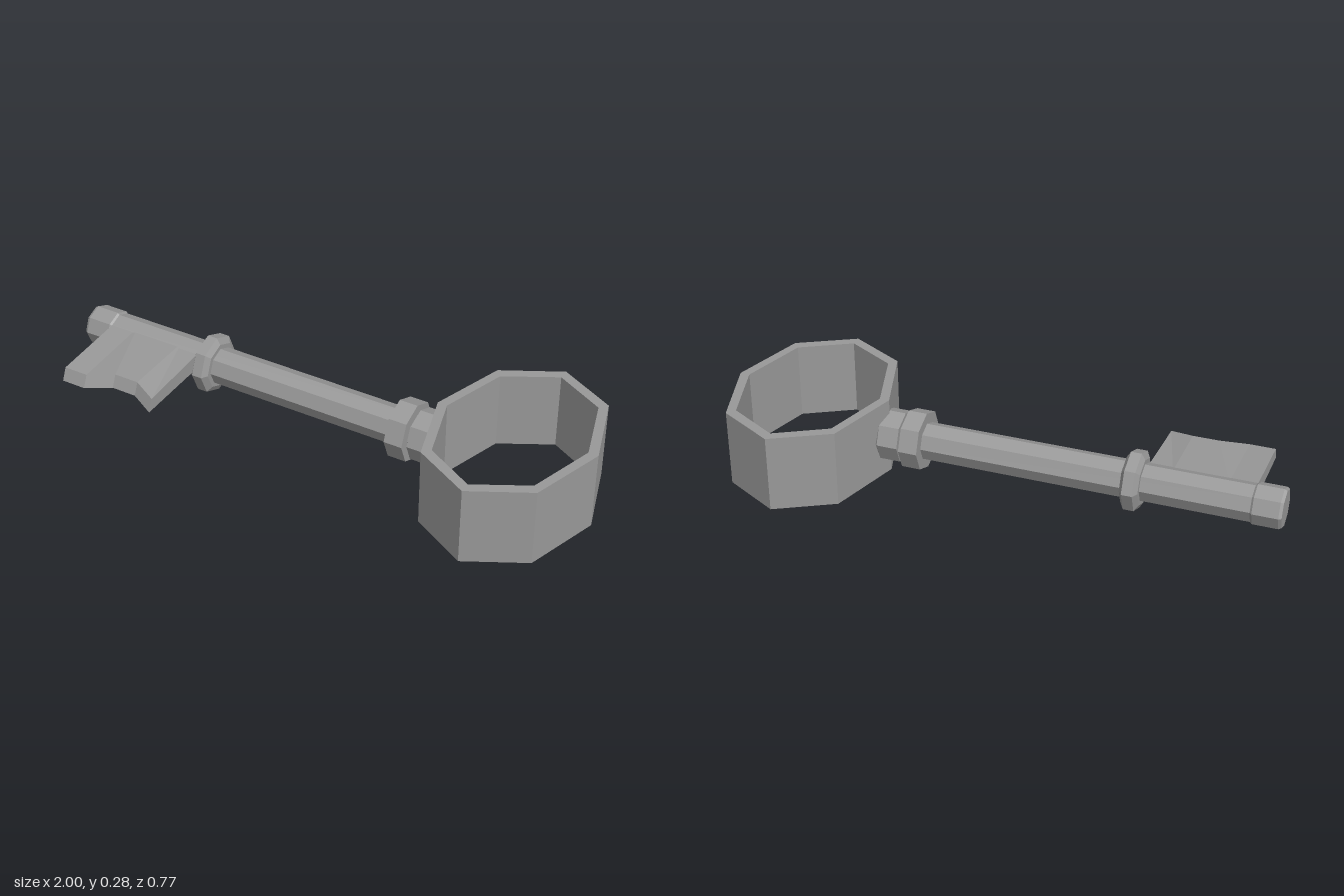
import * as THREE from 'three';

const AXIS_Y = 0.142, AXIS_Z = 0.01;

export function createModel() {
  const group = new THREE.Group();
  const iron = new THREE.MeshStandardMaterial({ color: 0x999999, flatShading: true });
  iron.name = 'iron grey';

  const add = (name, geometry) => {
    const mesh = new THREE.Mesh(geometry, iron);
    mesh.name = name;
    group.add(mesh);
    return mesh;
  };

  // Eight-sided turned part along x, from [x, radius] pairs
  const turned = (name, profile) => {
    const pts = [[profile[0][0], 0], ...profile, [profile[profile.length - 1][0], 0]]
      .map(([x, r]) => new THREE.Vector2(r, x));
    const geo = new THREE.LatheGeometry(pts, 8);
    geo.rotateZ(-Math.PI / 2);
    geo.translate(0, AXIS_Y, AXIS_Z);
    return add(name, geo);
  };

  turned('shaft', [[-0.95, 0.068], [0.44, 0.068]]);
  turned('tip', [[-1, 0.068], [-0.99, 0.074], [-0.9, 0.074], [-0.893, 0.068]]);
  turned('bitCollar', [[-0.513, 0.085], [-0.5, 0.108], [-0.462, 0.108], [-0.448, 0.085]]);
  turned('middleCollar', [[0.28, 0.108], [0.348, 0.108]]);
  turned('bowCollar', [[0.36, 0.094], [0.435, 0.094], [0.448, 0.08]]);

  // Handle: eight-sided oval ring, taller than the shaft
  const oval = [[1, 0], [0.71, 0.71], [0, 1], [-0.71, 0.71], [-1, 0], [-0.71, -0.71], [0, -1], [0.71, -0.71]];
  const loop = (rx, rz) => oval.map(([x, z]) => new THREE.Vector2(0.708 + x * rx, z * rz));
  const ringShape = new THREE.Shape(loop(0.29, 0.387));
  ringShape.holes.push(new THREE.Path(loop(0.255, 0.347)));
  const ring = new THREE.ExtrudeGeometry(ringShape, { depth: 0.283, bevelEnabled: false });
  ring.rotateX(Math.PI / 2);
  ring.translate(0, 0.283, 0);
  add('bowRing', ring);

  // Bit: wavy plate, cross-sections along x as [x, outer z, outer height]
  const stations = [
    [-0.893, 0.355, 0.12], [-0.8, 0.355, 0.12], [-0.7, 0.318, 0.135],
    [-0.605, 0.318, 0.135], [-0.518, 0.355, 0.117],
  ];
  const sections = stations.map(([x, z, y]) => [
    [x, 0.193, 0.03], [x, y + 0.045, z - 0.02], [x, y, z], [x, 0.135, 0.03],
  ]);
  const pos = [];
  const quad = (a, b, c, d) => pos.push(...a, ...b, ...c, ...a, ...c, ...d);
  for (let i = 0; i < sections.length - 1; i++) {
    for (let k = 0; k < 4; k++) {
      const n = (k + 1) % 4;
      quad(sections[i][k], sections[i][n], sections[i + 1][n], sections[i + 1][k]);
    }
  }
  quad(...[...sections[0]].reverse());
  quad(...sections[sections.length - 1]);
  const bit = new THREE.BufferGeometry();
  bit.setAttribute('position', new THREE.Float32BufferAttribute(pos, 3));
  bit.computeVertexNormals();
  add('bit', bit);

  return group;
}
